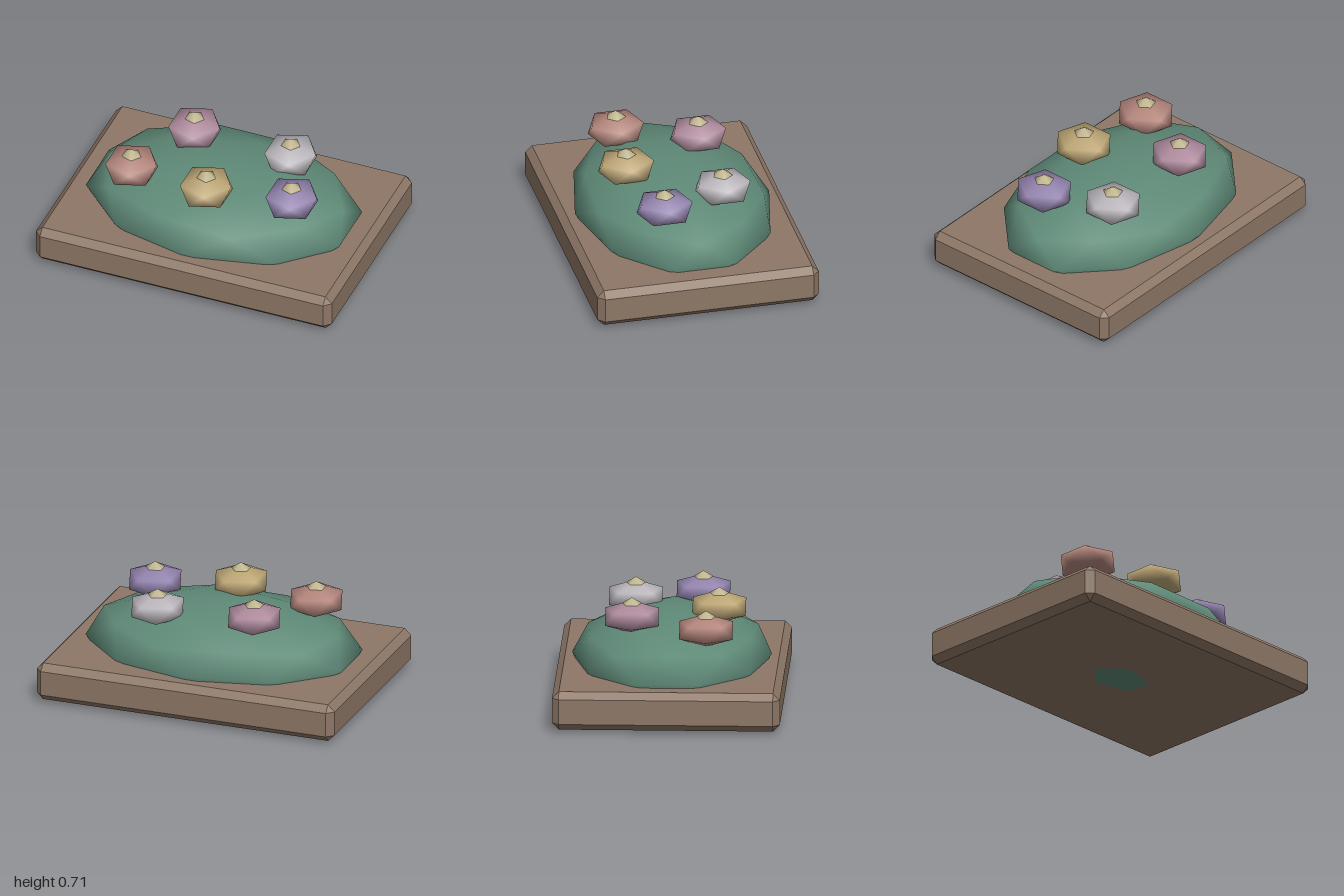
import * as THREE from 'three';
import { ConvexGeometry } from 'three/addons/geometries/ConvexGeometry.js';

const mat = (color) => new THREE.MeshStandardMaterial({ color });

// Smooth low-poly ball with its poles on the y axis and an upper ring corner at +x
function ball(rx, ry, rz, detail) {
  const g = new THREE.IcosahedronGeometry(1, detail);
  g.rotateZ(-Math.atan(2 / (1 + Math.sqrt(5))));
  g.setAttribute('normal', g.attributes.position.clone());
  return g.scale(rx, ry, rz);
}

// Box with every edge and corner chamfered
function chamferedBox(x, y, z, c) {
  const pts = [];
  for (const sx of [-1, 1]) for (const sy of [-1, 1]) for (const sz of [-1, 1]) {
    pts.push(
      new THREE.Vector3(sx * x, sy * (y - c), sz * (z - c)),
      new THREE.Vector3(sx * (x - c), sy * y, sz * (z - c)),
      new THREE.Vector3(sx * (x - c), sy * (y - c), sz * z)
    );
  }
  return new ConvexGeometry(pts);
}

export function createModel() {
  const model = new THREE.Group();
  model.name = 'flowerBed';

  const add = (parent, name, geometry, material, x, y, z) => {
    const m = new THREE.Mesh(geometry, material);
    m.name = name;
    m.position.set(x, y, z);
    parent.add(m);
    return m;
  };

  // Base board and the leafy mound whose lower tip pokes through it
  add(model, 'board', chamferedBox(1, 0.1225, 0.715, 0.043), mat(0x8d7766), 0, 0.1425, 0);
  add(model, 'mound', ball(0.9, 0.29, 0.627, 1), mat(0x5f8a78), 0, 0.29, 0);

  // Blossoms: x, y, z, colour
  const bloom = ball(0.188, 0.105, 0.197, 0);
  const heart = ball(0.07, 0.07, 0.07, 0);
  const heartMat = mat(0xcbc098);
  const flowers = [
    [-0.53, 0.565, 0.235, 0xb5877d],
    [-0.295, 0.59, -0.24, 0xb08c9f],
    [0, 0.59, 0.297, 0xbfa877],
    [0.355, 0.565, -0.24, 0xbcb8be],
    [0.53, 0.565, 0.177, 0x9585b0],
  ];
  flowers.forEach(([x, y, z, color], i) => {
    const flower = new THREE.Group();
    flower.name = `flower${i + 1}`;
    flower.position.set(x, y, z);
    add(flower, 'blossom', bloom, mat(color), 0, 0, 0);
    add(flower, 'flowerCentre', heart, heartMat, 0, 0.055, 0);
    model.add(flower);
  });

  return model;
}
